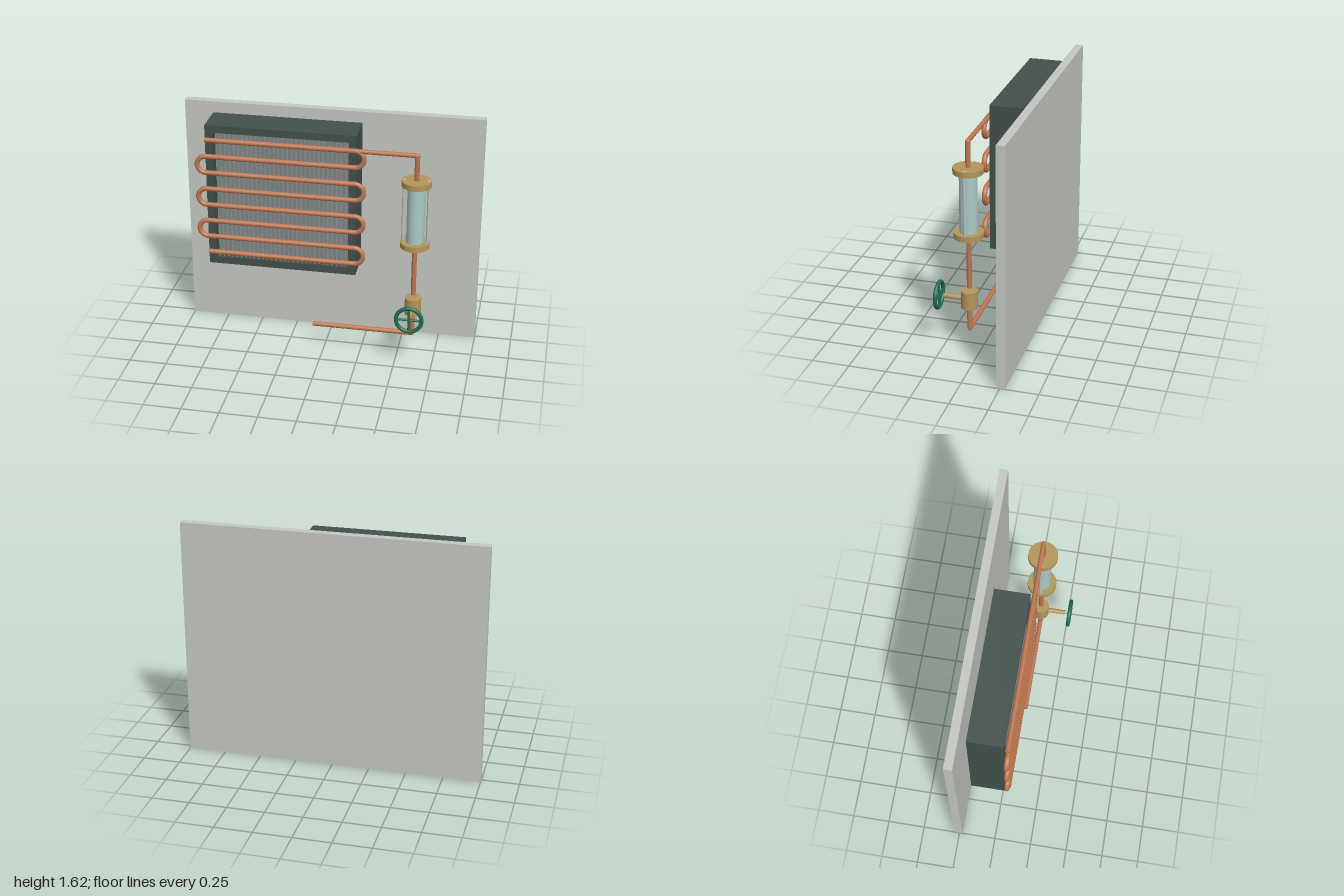
import * as THREE from 'three';

const mat = (name, color, side = THREE.FrontSide) => {
  const m = new THREE.MeshStandardMaterial({ color, side });
  m.name = name;
  return m;
};

export function createModel() {
  const model = new THREE.Group();
  model.name = 'condenserPanel';
  const panelGrey = mat('panelGrey', 0xc5c8c1);
  const frameDark = mat('frameDark', 0x42504c);
  const finGrey = mat('finGrey', 0x8b9191);
  const copper = mat('copper', 0xbd7650);
  const brass = mat('brass', 0xb3965c);
  const glass = mat('paleGlass', 0xaccbc6);
  const rodGrey = mat('rodGrey', 0xb9c2bf);
  const green = mat('wheelGreen', 0x1d6b54);

  const add = (parent, name, geometry, material, x = 0, y = 0, z = 0) => {
    const mesh = new THREE.Mesh(geometry, material);
    mesh.name = name;
    mesh.position.set(x, y, z);
    parent.add(mesh);
    return mesh;
  };
  const group = (name, x = 0, y = 0, z = 0) => {
    const g = new THREE.Group();
    g.name = name;
    g.position.set(x, y, z);
    model.add(g);
    return g;
  };
  const box = (w, h, d) => new THREE.BoxGeometry(w, h, d);
  const up = new THREE.Vector3(0, 1, 0);
  // Capped round bar between two points
  const bar = (parent, name, a, b, r, material) => {
    const p = new THREE.Vector3(...a), q = new THREE.Vector3(...b);
    const dir = q.clone().sub(p);
    const mesh = add(parent, name, new THREE.CylinderGeometry(r, r, dir.length(), 20), material);
    mesh.position.copy(p).add(q).multiplyScalar(0.5);
    mesh.quaternion.setFromUnitVectors(up, dir.normalize());
    return mesh;
  };

  const PIPE_Z = 0.065, PIPE_R = 0.0165, COLUMN_X = 0.6;

  // Backing panel
  add(model, 'backPanel', box(2, 1.615, 0.055), panelGrey, 0, 0.8075, -0.2555);

  // Open radiator frame with vertical fins
  const radiator = group('radiator', -0.295, 1.055, -0.07);
  for (const s of [-1, 1]) {
    add(radiator, 'frameRail', box(1, 0.05, 0.23), frameDark, 0, s * 0.475, 0);
    add(radiator, 'frameSide', box(0.05, 0.9, 0.23), frameDark, s * 0.475, 0, 0);
  }
  const FINS = 30;
  for (let i = 0; i < FINS; i++) {
    const x = -0.43 + (0.86 * i) / (FINS - 1);
    add(radiator, 'fin', box(0.008, 0.9, 0.2), finGrey, x, 0, 0);
  }

  // Serpentine coil: straight runs joined by half-round bends
  const coil = group('coil', 0, 0, PIPE_Z);
  const ROWS = 8, TOP = 1.46, STEP = 0.1155, LEFT = -0.79, RIGHT = 0.2;
  for (let i = 0; i < ROWS; i++) {
    const y = TOP - i * STEP;
    bar(coil, 'coilRun', [LEFT, y, 0], [RIGHT, y, 0], PIPE_R, copper);
    if (i === ROWS - 1) break;
    const onRight = i % 2 === 0;
    const bend = add(coil, 'coilBend', new THREE.TorusGeometry(STEP / 2, PIPE_R, 16, 24, Math.PI),
      copper, onRight ? RIGHT : LEFT, y - STEP / 2, 0);
    bend.rotation.z = onRight ? -Math.PI / 2 : Math.PI / 2;
  }

  // Feed and drain pipes
  const pipes = group('pipes', 0, 0, PIPE_Z);
  const elbow = y => add(pipes, 'elbow', new THREE.SphereGeometry(PIPE_R * 0.9, 20, 14), copper, COLUMN_X, y, 0);
  bar(pipes, 'feedPipe', [RIGHT, TOP, 0], [COLUMN_X, TOP, 0], PIPE_R * 0.9, copper);
  elbow(TOP);
  bar(pipes, 'feedDrop', [COLUMN_X, TOP, 0], [COLUMN_X, 1.28, 0], PIPE_R, copper);
  bar(pipes, 'middlePipe', [COLUMN_X, 0.83, 0], [COLUMN_X, 0.46, 0], PIPE_R, copper);
  bar(pipes, 'drainDrop', [COLUMN_X, 0.33, 0], [COLUMN_X, 0.165, 0], PIPE_R, copper);
  elbow(0.165);
  bar(pipes, 'drainPipe', [COLUMN_X, 0.165, 0], [-0.08, 0.165, 0], PIPE_R * 0.95, copper);

  // Sight glass between two flanges with tie rods
  const sight = group('sightGlass', COLUMN_X, 1.055, PIPE_Z);
  add(sight, 'glassTube', new THREE.CylinderGeometry(0.058, 0.058, 0.42, 32), glass);
  for (const s of [-1, 1]) {
    add(sight, 'flange', new THREE.CylinderGeometry(0.097, 0.097, 0.037, 32), brass, 0, s * 0.217, 0);
    bar(sight, 'tieRod', [s * 0.081, -0.237, 0], [s * 0.081, 0.237, 0], 0.01, rodGrey);
  }

  // Valve with stem and handwheel
  const valve = group('valve', COLUMN_X, 0.38, PIPE_Z);
  add(valve, 'valveBody', new THREE.CylinderGeometry(0.055, 0.055, 0.12, 28), brass);
  bar(valve, 'valveStem', [0, 0, 0.03], [0, 0, 0.172], 0.0155, brass);
  const wheel = group('handwheel', COLUMN_X, 0.38, 0.27);
  add(wheel, 'wheelRim', new THREE.TorusGeometry(0.085, 0.013, 14, 40), green);
  bar(wheel, 'wheelSpoke', [-0.085, 0, 0], [0.085, 0, 0], 0.008, green);
  bar(wheel, 'wheelSpoke', [0, -0.085, 0], [0, 0.085, 0], 0.008, green);

  return model;
}
